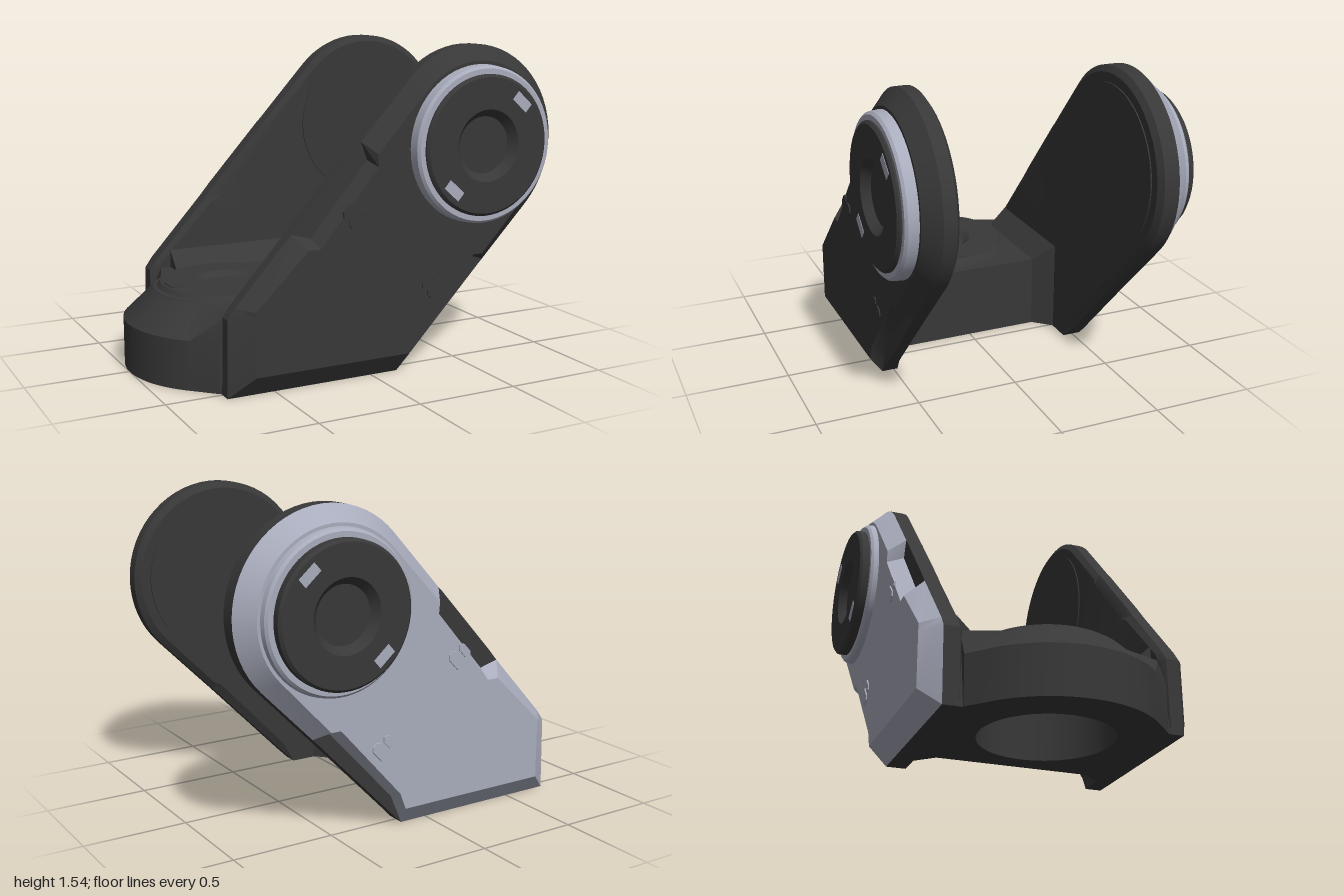
import * as THREE from 'three';
import { toCreasedNormals } from 'three/addons/utils/BufferGeometryUtils.js';

const dark = new THREE.MeshStandardMaterial({ color: 0x383838 });
const light = new THREE.MeshStandardMaterial({ color: 0xa9acbc });
const inside = new THREE.MeshStandardMaterial({ color: 0x383838, side: THREE.DoubleSide });
const PIVOT = [0.535, 1.073], R = 0.465;

function add(parent, name, geo, mat) {
  const mesh = new THREE.Mesh(geo, mat);
  mesh.name = name;
  parent.add(mesh);
  return mesh;
}

// Skin a stack of equal-length rings of [x, y, z], with end caps
function loft(rings, capStart = true) {
  const n = rings[0].length, pos = [], last = rings.length - 1;
  const flat = rings.map(r => r.map(p => new THREE.Vector2(p[0], p[1])));
  const down = rings[last][0][2] < rings[0][0][2];
  const flip = (THREE.ShapeUtils.area(flat[0]) < 0) !== down;
  const tri = (a, b, c, rev) => pos.push(...a, ...(rev ? c : b), ...(rev ? b : c));
  for (let k = 0; k < last; k++) {
    for (let i = 0; i < n; i++) {
      const j = (i + 1) % n, a = rings[k], b = rings[k + 1];
      tri(a[i], a[j], b[j], flip);
      tri(a[i], b[j], b[i], flip);
    }
  }
  const cap = (k, rev) => THREE.ShapeUtils.triangulateShape(flat[k], [])
    .forEach(([a, b, c]) => tri(rings[k][a], rings[k][b], rings[k][c], rev));
  if (capStart) cap(0, !down);
  cap(last, down);
  const geo = new THREE.BufferGeometry();
  geo.setAttribute('position', new THREE.Float32BufferAttribute(pos, 3));
  return toCreasedNormals(geo, 0.45);
}

function lathe(points) {
  const geo = new THREE.LatheGeometry(points.map(p => new THREE.Vector2(...p)), 64);
  return toCreasedNormals(geo, 0.45);
}

// Arm outline: outer point, chamfered point, and whether the plate is notched there
function armOutline() {
  const pts = [
    [-0.73, 0, -0.62, 0.1], [0.14, 0, 0.17, 0.1],
    [0.2, 0.06, 0.2, 0.18, true], [0.595, 0.47, 0.52, 0.54, true],
    [0.62, 0.495, 0.57, 0.54],
  ];
  for (let i = 0; i <= 32; i++) {
    const a = THREE.MathUtils.degToRad(-44 + 182 * i / 32), c = Math.cos(a), s = Math.sin(a);
    pts.push([PIVOT[0] + R * c, PIVOT[1] + R * s, PIVOT[0] + (R - 0.075) * c, PIVOT[1] + (R - 0.075) * s]);
  }
  pts.push(
    [-0.06, 1.11, -0.01, 1.06], [-0.085, 1.085, -0.005, 1.0, true],
    [-0.36, 0.78, -0.3, 0.65, true], [-0.415, 0.715, -0.36, 0.65],
    [-0.69, 0.41, -0.62, 0.4], [-0.725, 0.36, -0.62, 0.36],
  );
  return pts;
}

// z: inner face, inner chamfer, plate seam, outer face, ring top, hub top
function arm(name, z, plateMat) {
  const g = new THREE.Group();
  g.name = name;
  const dir = Math.sign(z[0]), pts = armOutline();
  const ring = (h, t) => pts.map((p, i) => {
    const k = t(p, i);
    return [p[0] + (p[2] - p[0]) * k, p[1] + (p[3] - p[1]) * k, h];
  });
  add(g, 'armBody', loft([
    ring(z[0], (p, i) => (i < 2 ? 0 : 0.4)), ring(z[1], () => 0), ring(z[2], () => 0),
  ]), dark);
  add(g, 'outerPlate', loft([
    ring(z[2], p => (p[4] ? 0.7 : 0)), ring(z[3], () => 1),
  ], false), plateMat);

  // Pivot ring, dished hub and inner disc
  const turned = (n, profile, h, d, mat) => {
    const m = add(g, n, lathe(profile), mat);
    m.rotation.x = d * Math.PI / 2;
    m.position.set(...PIVOT, h);
  };
  const h1 = Math.abs(z[4] - z[3]), h2 = Math.abs(z[5] - z[3]);
  turned('pivotRing', [[0.375, 0], [0.37, h1 - 0.012], [0.358, h1], [0.33, h1]], z[3], dir, light);
  turned('pivotHub', [[0.333, 0], [0.333, h2 - 0.012], [0.32, h2], [0.17, h2], [0.135, h2 - 0.04], [0, h2 - 0.04]],
    z[3], dir, dark);
  turned('innerDisc', [[0.39, -0.02], [0.39, 0.006], [0, 0.006]], z[0], -dir, dark);

  // Hub slots
  for (const s of [1, -1]) {
    const m = add(g, 'hubSlot', new THREE.BoxGeometry(0.1, 0.05, 0.008), light);
    m.position.set(PIVOT[0] + s * 0.185, PIVOT[1] + s * 0.197, z[5] - dir * 0.002);
    m.rotation.z = -0.72;
  }

  // Small paired clips on the plate
  for (const [x, y] of [[-0.13, 0.79], [0.29, 0.42]]) {
    const clip = new THREE.Group();
    clip.name = 'plateClip';
    clip.position.set(x, y, z[3]);
    clip.rotation.z = 0.82;
    for (const [dy, w, l] of [[-0.025, 0.11, 0.06], [0.035, 0.09, 0.04]]) {
      const c = 0.018, a = w / 2, b = l / 2;
      const oct = [[-a + c, -b], [a - c, -b], [a, -b + c], [a, b - c], [a - c, b], [-a + c, b], [-a, b - c], [-a, -b + c]];
      const m = add(clip, 'clipPad', loft([
        oct.map(p => [...p, -dir * 0.005]), oct.map(p => [p[0] * 0.95, p[1] * 0.95, dir * 0.006]),
      ]), plateMat);
      m.position.y = dy;
    }
    g.add(clip);
  }
  return g;
}

function base() {
  const g = new THREE.Group();
  g.name = 'base';
  const cx = -0.49, cz = 0.01;
  // Plan outline in x and -z, rounded at the -x end
  const plan = (r, sx) => {
    const p = [[-0.07, -0.485], [-0.07, 0.455], [sx, 0.455]];
    for (let i = 0; i <= 28; i++) {
      const a = THREE.MathUtils.degToRad(133 + 94 * i / 28);
      p.push([cx + r * Math.cos(a), -cz + r * Math.sin(a)]);
    }
    p.push([sx, -0.485]);
    return p;
  };
  const low = plan(0.51, -0.735), high = plan(0.37, -0.67);
  const at = (p, h) => p.map(q => [q[0], q[1], h]);
  add(g, 'baseBody', loft([at(low, 0), at(low, 0.235), at(high, 0.37)], false).rotateX(-Math.PI / 2), dark);

  // Underside with a round well
  const under = new THREE.Shape(low.map(p => new THREE.Vector2(p[0], -p[1])));
  under.holes.push(new THREE.Path().absarc(cx, cz, 0.31, 0, Math.PI * 2, true));
  add(g, 'underside', new THREE.ShapeGeometry(under, 32).rotateX(Math.PI / 2), dark);
  add(g, 'well', lathe([[0.31, 0], [0.31, 0.3], [0, 0.3]]), inside).position.set(cx, 0, cz);

  // Dished cap on top with two slots
  add(g, 'baseCap', lathe([[0.37, 0.368], [0.365, 0.376], [0.345, 0.38], [0.33, 0.4], [0.17, 0.4], [0.135, 0.374], [0, 0.374]]), dark)
    .position.set(cx, 0, cz);
  for (const s of [1, -1]) {
    add(g, 'capSlot', new THREE.BoxGeometry(0.055, 0.008, 0.11), dark).position.set(cx + s * 0.285, 0.4, cz);
  }

  // Sloped gussets joining the base to the arms
  for (const [zi, zo] of [[0.385, 0.485], [-0.36, -0.455]]) {
    const corner = [[-0.62, zo], [0.02, zo], [-0.07, zi], [-0.62, zi]];
    const foot = corner.map(([x, z]) => [x, -z, 0.001]);
    const top = corner.map(([x, z]) => [x, -z, z === zo ? 0.465 : 0.37]);
    add(g, 'gusset', loft([foot, top]).rotateX(-Math.PI / 2), dark);
  }
  return g;
}

export function createModel() {
  const model = new THREE.Group();
  model.name = 'forkBracket';
  model.add(
    base(),
    arm('frontArm', [0.48, 0.5, 0.56, 0.63, 0.69, 0.71], dark),
    arm('backArm', [-0.45, -0.47, -0.545, -0.625, -0.662, -0.71], light),
  );
  return model;
}
